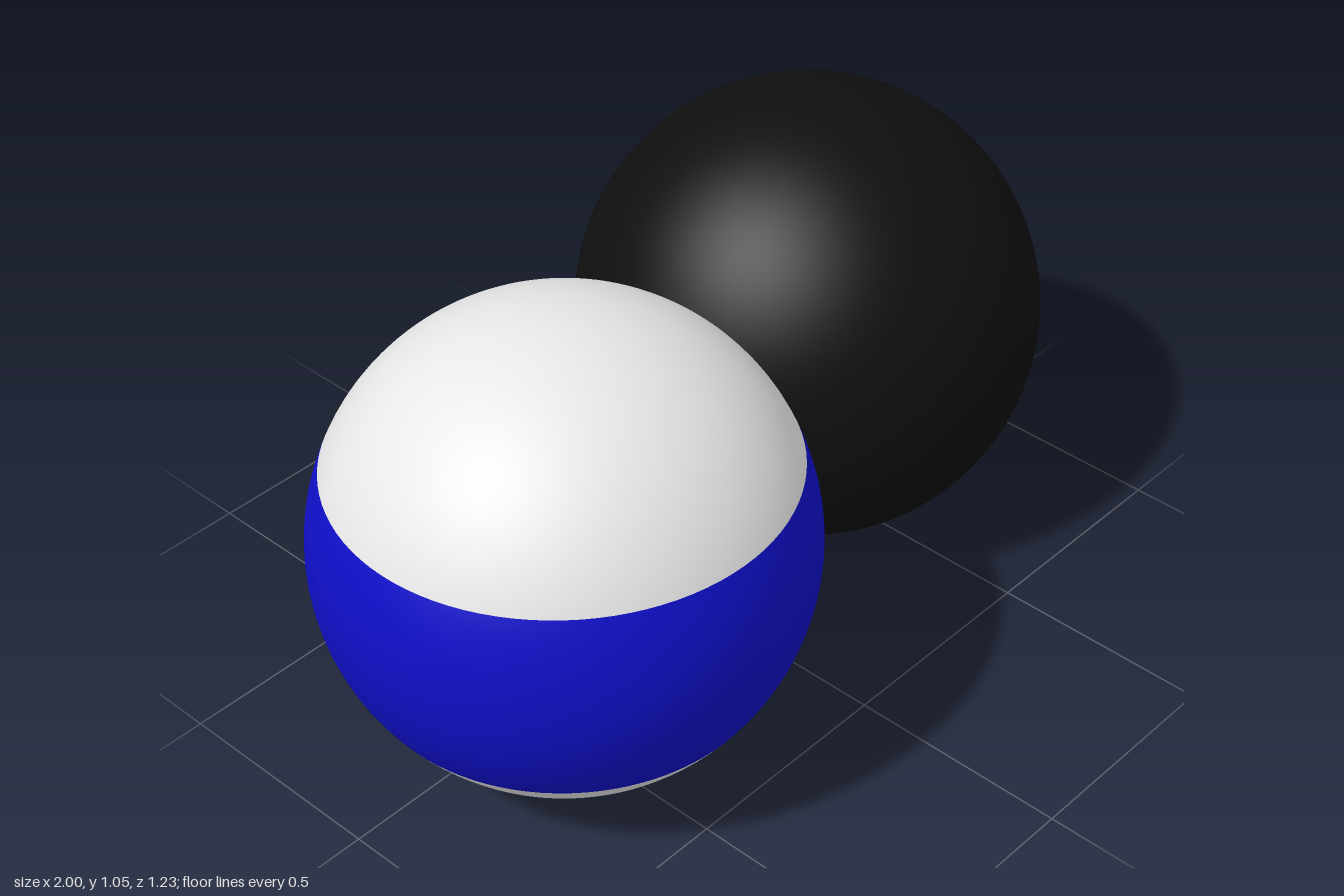
import * as THREE from 'three';

const RADIUS = 0.52;

function material(name, color) {
  const m = new THREE.MeshStandardMaterial({ color });
  m.name = name;
  return m;
}

// Zone of a sphere between two heights measured from its centre
function band(name, top, bottom, mat, radius = RADIUS, rows = 32) {
  const start = Math.acos(top / RADIUS);
  const end = Math.acos(bottom / RADIUS);
  const geometry = new THREE.SphereGeometry(radius, 96, rows, 0, Math.PI * 2, start, end - start);
  const mesh = new THREE.Mesh(geometry, mat);
  mesh.name = name;
  return mesh;
}

// Round painted spot that follows the ball surface and faces the given direction
function spot(name, direction, mat) {
  const height = Math.sqrt(RADIUS ** 2 - 0.2 ** 2);
  const mesh = band(name, RADIUS, height, mat, RADIUS + 0.001, 16);
  mesh.quaternion.setFromUnitVectors(new THREE.Vector3(0, 1, 0), direction.normalize());
  return mesh;
}

function ball(name, position, parts) {
  const group = new THREE.Group();
  group.name = name;
  group.position.set(...position);
  group.add(...parts);
  return group;
}

export function createModel() {
  const white = material('white', 0xf8f8f8);
  const blue = material('blue', 0x0f0fc8);
  const black = material('black', 0x0f0f0f);

  const model = new THREE.Group();
  model.name = 'billiardBalls';

  // White ball with a wide blue stripe and a spot on its back
  model.add(ball('stripedBall', [-0.48, 0.535, 0.095], [
    band('whiteTop', RADIUS, 0.2, white),
    band('blueStripe', 0.2, -0.29, blue),
    band('whiteBottom', -0.29, -RADIUS, white),
    spot('stripedBallSpot', new THREE.Vector3(-0.19, -0.08, -0.98), white),
  ]));

  // Plain black ball with a spot on its back
  model.add(ball('blackBall', [0.48, 0.523, -0.095], [
    band('blackSurface', RADIUS, -RADIUS, black, RADIUS, 64),
    spot('blackBallSpot', new THREE.Vector3(-0.08, -0.066, -0.995), white),
  ]));

  return model;
}
